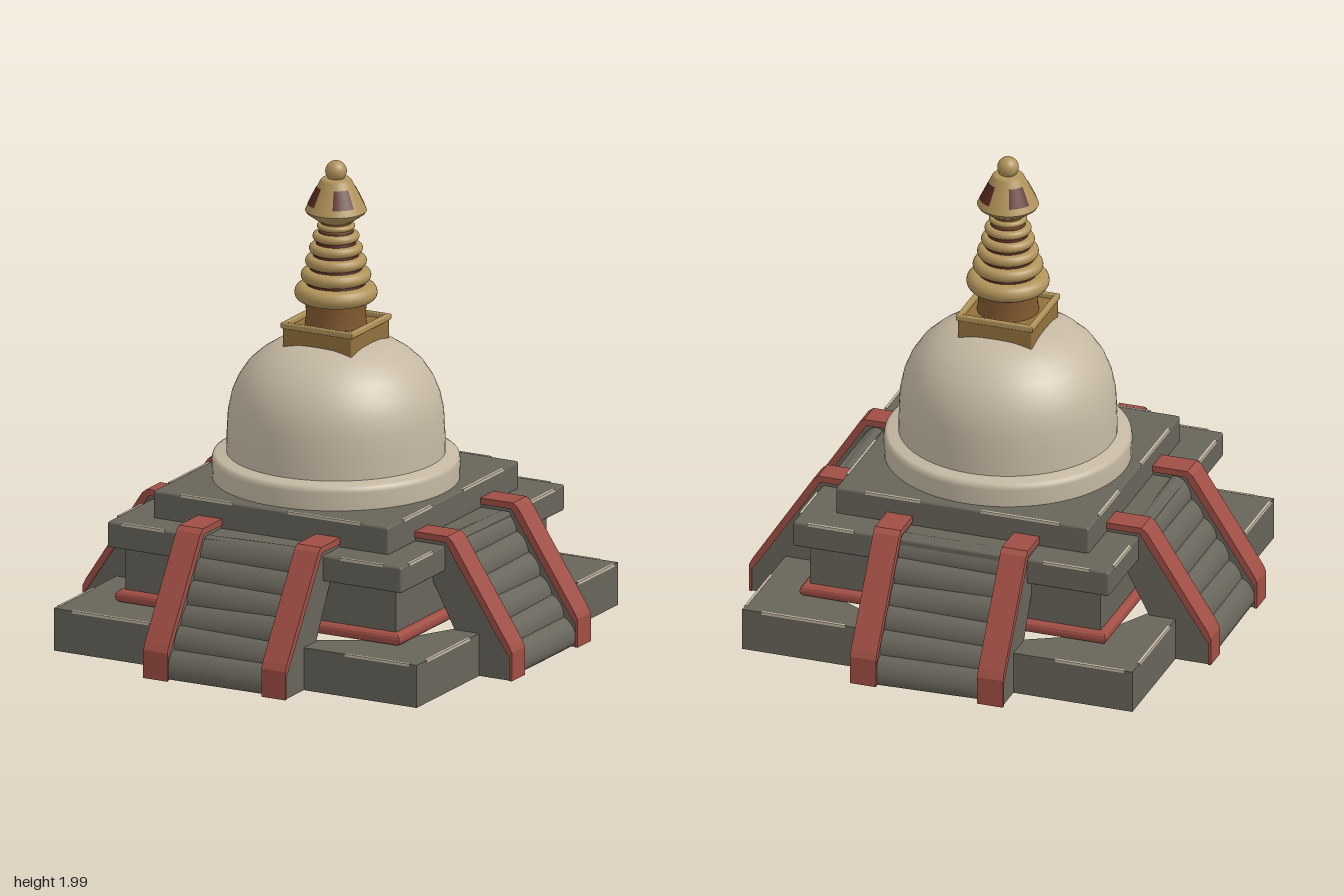
import * as THREE from 'three';
import { RoundedBoxGeometry } from 'three/addons/geometries/RoundedBoxGeometry.js';

const mat = (name, color) => Object.assign(new THREE.MeshStandardMaterial({ color }), { name });

export function createModel() {
  const stone = mat('grey stone', 0x67645a);
  const plaster = mat('cream plaster', 0xc4b8a2);
  const red = mat('red paint', 0xa04e44);
  const gold = mat('gold', 0xb0935a);
  const ochre = mat('ochre', 0x92703c);
  const bronze = mat('brown bronze', 0x80592f);
  const maroon = mat('dark maroon', 0x5c2a20);

  const model = new THREE.Group();
  model.name = 'stupa';
  const body = new THREE.Group();
  body.name = 'body';
  body.position.z = -0.011;
  model.add(body);

  const add = (parent, name, geometry, material) => {
    const mesh = new THREE.Mesh(geometry, material);
    mesh.name = name;
    parent.add(mesh);
    return mesh;
  };
  const outline = (pts, Type = THREE.Shape) => new Type(pts.map(p => new THREE.Vector2(...p)));
  // solid square tier
  const tier = (name, half, y0, y1, material, r = 0.01) => {
    add(body, name, new RoundedBoxGeometry(half * 2, y1 - y0, half * 2, 2, r), material).position.y = (y0 + y1) / 2;
  };
  // square frame, open in the middle
  const frame = (name, outer, inner, y0, y1, material, b = 0.008) => {
    const o = outer - b, i = inner + b;
    const s = outline([[-o, -o], [o, -o], [o, o], [-o, o]]);
    s.holes.push(outline([[-i, -i], [-i, i], [i, i], [i, -i]], THREE.Path));
    const g = new THREE.ExtrudeGeometry(s, { depth: y1 - y0 - 2 * b, bevelSize: b, bevelThickness: b, bevelSegments: 3 });
    add(body, name, g.rotateX(-Math.PI / 2).translate(0, y0 + b, 0), material);
  };
  const lathe = (name, pts, material, seg = 48, start = 0, len = Math.PI * 2) =>
    add(body, name, new THREE.LatheGeometry(pts.map(p => new THREE.Vector2(...p)), seg, start, len), material);
  // side profile (distance outwards, height) extruded across a width
  const slab = (parent, name, pts, width, across, material) => {
    const g = new THREE.ExtrudeGeometry(outline(pts), { depth: width, bevelEnabled: false });
    add(parent, name, g.translate(0, 0, across - width / 2), material);
  };

  // terraces
  frame('lowerWall', 0.63, 0.59, 0.19, 0.43, stone, 0.004);
  frame('redMoulding', 0.662, 0.6, 0.183, 0.235, red, 0.022);
  tier('middleTerrace', 0.685, 0.42, 0.53, stone);
  tier('upperTerrace', 0.548, 0.525, 0.645, stone);

  // base corners, open underneath, with worn pale dashes along all terrace edges
  const cornerTop = [[0.28, 0.845], [0.28, 0.74], [0.58, 0.58], [0.74, 0.28], [0.845, 0.28], [0.845, 0.845]];
  const dashes = [[0.845, 0.178, -0.66, 0.3], [0.845, 0.178, 0.58, 0.36], [0.685, 0.528, -0.5, 0.2],
    [0.685, 0.528, 0.52, 0.2], [0.548, 0.643, -0.25, 0.34], [0.548, 0.643, 0.3, 0.24]];
  for (let k = 0; k < 4; k++) {
    const side = new THREE.Group();
    side.name = 'baseCorner';
    side.rotation.y = k * Math.PI / 2;
    body.add(side);
    const top = new THREE.ExtrudeGeometry(outline(cornerTop), { depth: 0.02, bevelEnabled: false });
    add(side, 'cornerTop', top.rotateX(-Math.PI / 2).translate(0, 0.16, 0), stone);
    add(side, 'cornerWall', new THREE.BoxGeometry(0.565, 0.16, 0.02), stone).position.set(0.5625, 0.08, -0.835);
    add(side, 'cornerWall', new THREE.BoxGeometry(0.02, 0.16, 0.545), stone).position.set(0.835, 0.08, -0.5525);
    for (const [r, y, z, len] of dashes)
      add(side, 'wornEdge', new THREE.BoxGeometry(0.011, 0.011, len), plaster).position.set(r - 0.004, y - 0.002, z);
  }

  // four stairways with red-capped cheek walls
  const cheek = [[0.825, 0], [0.99, 0], [0.99, 0.115], [0.7, 0.56], [0.54, 0.56], [0.54, 0.5], [0.62, 0.39]];
  const cap = [[0.988, 0], [1, 0], [1, 0.12], [0.985, 0.15], [0.722, 0.555], [0.7, 0.572], [0.54, 0.572],
    [0.54, 0.545], [0.69, 0.545], [0.975, 0.115], [0.988, 0.1]];
  for (let k = 0; k < 4; k++) {
    const stair = new THREE.Group();
    stair.name = 'stairway';
    stair.rotation.y = k * Math.PI / 2;
    stair.position.set(k % 2 ? -0.005 : 0, 0, k % 2 ? 0 : -0.016);
    model.add(stair);
    // worn, pillow-like steps lying along the slope
    for (let i = 0; i < 6; i++) {
      const g = new THREE.CylinderGeometry(1, 1, 0.46, 20, 1).rotateX(Math.PI / 2).scale(0.042, 0.066, 1);
      const step = add(stair, 'step', g.rotateZ(0.5), stone);
      step.position.set(0.94 - i * 0.055, 0.06 + i * 0.083, 0);
      step.rotation.x = Math.sin(i * 2.3 + k) * 0.025;
    }
    for (const s of [-1, 1]) {
      slab(stair, 'cheekWall', cheek, 0.1, s * 0.275, stone);
      slab(stair, 'cheekCap', cap, 0.112, s * 0.275, red);
    }
  }

  // drum and dome
  lathe('drum', [[0, 0.64], [0.505, 0.64], [0.505, 0.64], [0.507, 0.72], [0.503, 0.738], [0.49, 0.745], [0.46, 0.75], [0.43, 0.76]], plaster, 64);
  lathe('dome', [[0.447, 0.74], [0.445, 0.84], [0.44, 0.93], [0.425, 1.0], [0.4, 1.06], [0.36, 1.12], [0.31, 1.165],
    [0.25, 1.203], [0.18, 1.228], [0.09, 1.24], [0, 1.242]], plaster, 64);

  // square box on the dome
  tier('boxBody', 0.161, 1.2, 1.295, ochre, 0.006);
  frame('boxLip', 0.166, 0.145, 1.29, 1.315, gold, 0.005);

  // spire: dark core with gold rings
  lathe('spireNeck', [[0.13, 1.27], [0.122, 1.33], [0.125, 1.395]], bronze);
  lathe('spireCore', [[0.13, 1.39], [0.122, 1.46], [0.07, 1.69]], maroon);
  lathe('spireTop', [[0.072, 1.68], [0.06, 1.73]], bronze);
  for (const [y, r, h] of [[1.428, 0.17, 0.036], [1.5, 0.144, 0.027], [1.56, 0.126, 0.024], [1.614, 0.11, 0.021], [1.665, 0.096, 0.018], [1.708, 0.078, 0.012]]) {
    const pts = [[r - 0.06, y - h]];
    for (let i = 0; i <= 8; i++) {
      const a = (i / 8 - 0.5) * Math.PI;
      pts.push([r - h + Math.cos(a) * h, y + Math.sin(a) * h]);
    }
    pts.push([r - 0.06, y + h]);
    lathe('spireRing', pts, gold);
  }

  // crown with four dark openings and a ball finial
  lathe('crown', [[0, 1.725], [0.06, 1.725], [0.085, 1.74], [0.12, 1.765], [0.126, 1.775], [0.126, 1.775], [0.12, 1.788],
    [0.065, 1.9], [0.055, 1.91], [0, 1.912]], gold);
  for (let k = 0; k < 4; k++)
    lathe('crownOpening', [[0.1158, 1.802], [0.0793, 1.876]], maroon, 8, Math.PI / 4 + k * Math.PI / 2 - 0.4, 0.8);
  add(body, 'finial', new THREE.SphereGeometry(0.044, 24, 16), gold).position.y = 1.94;

  return model;
}
